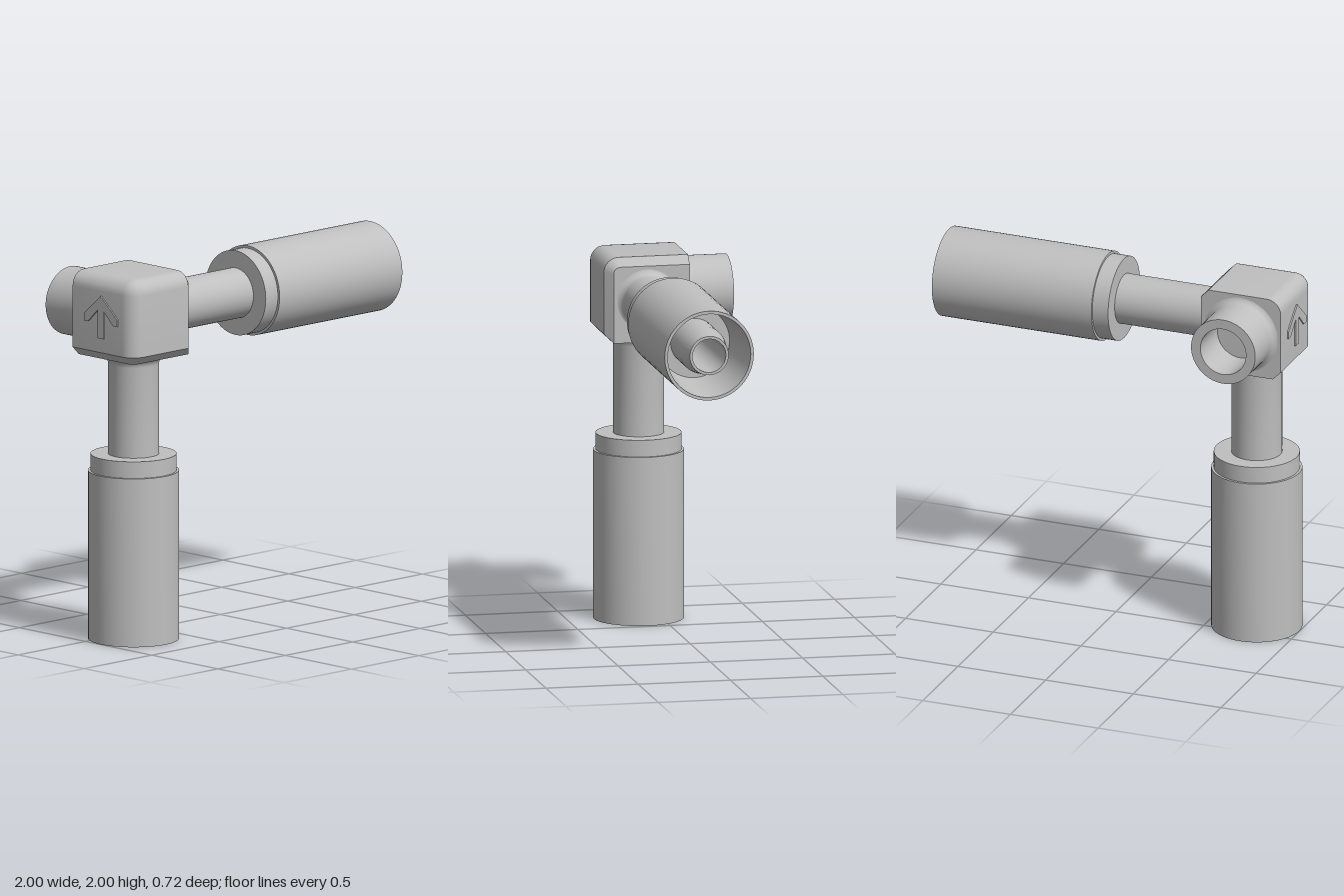
import * as THREE from 'three';
import { toCreasedNormals } from 'three/addons/utils/BufferGeometryUtils.js';
import { ConvexGeometry } from 'three/addons/geometries/ConvexGeometry.js';

const metal = new THREE.MeshStandardMaterial({ color: 0xbfbfbf });
metal.name = 'grey metal';

function part(name, geometry) {
  const mesh = new THREE.Mesh(toCreasedNormals(geometry, 0.5), metal);
  mesh.name = name;
  return mesh;
}

// Turned part; points are [radius, distance from the block centre]
function turned(name, points) {
  return part(name, new THREE.LatheGeometry(points.map(([r, t]) => new THREE.Vector2(r, t)), 64));
}

// Concave fillet from a block face at distance t down to radius r
function fillet(r, t, size) {
  const points = [];
  for (let i = 0; i <= 6; i++) {
    const a = (i / 6) * Math.PI / 2;
    points.push([r + size * (1 - Math.sin(a)), t + size * (1 - Math.cos(a))]);
  }
  return points;
}

// Block: rounded on three outer edges, chamfered around the two arm faces
function blockGeometry() {
  const h = 0.228, c = 0.045, r = 0.08, n = 6;
  const points = [];
  const add = (x, y, z) => points.push(new THREE.Vector3(x, y, z));
  const k = h - r;
  for (let i = 0; i <= n; i++) {
    const a = (i / n) * Math.PI / 2, s = Math.sin(a), q = Math.cos(a);
    add(-k - r * q, k + r * s, -h);                        // left top edge
    add(-k - r * q, -h + c, k + r * s);                    // left front edge
    add(-k - (r - c) * q, -h, k + (r - c) * s);
    add(h - c, k + r * q, k + r * s);                      // top front edge
    add(h, k + (r - c) * q, k + (r - c) * s);
    for (let j = 0; j <= n; j++) {                         // rounded corner
      const b = (j / n) * Math.PI / 2;
      add(-k - r * q * Math.cos(b), k + r * s, k + r * q * Math.sin(b));
    }
  }
  add(-h, -h + c, -h); add(-h + c, -h, -h);
  add(h - c, h, -h); add(h, h - c, -h);
  add(h, -h, -h); add(h, -h, h - c);
  add(h - c, -h + c, h);
  return new ConvexGeometry(points);
}

// Hose arm: pipe, crimped sleeve and inner nipple, along local +y
function arm(name) {
  const group = new THREE.Group();
  group.name = name;
  group.add(turned('pipe', [...fillet(0.135, 0.225, 0.045), [0.135, 0.78]]));
  group.add(turned('sleeve', [
    [0.12, 0.757], [0.228, 0.757], [0.228, 0.847], [0.2415, 0.847],
    [0.2415, 1.757], [0.225, 1.757], [0.192, 1.38], [0.1, 1.38],
  ]));
  group.add(turned('nipple', [
    [0.127, 1.37], [0.127, 1.6], [0.105, 1.757], [0.09, 1.757], [0.09, 0.24], [0, 0.24],
  ]));
  return group;
}

// Raised arrow on the left-hand wall
function arrowGeometry() {
  const half = [[0, 0.12], [0.125, 0.01], [0.125, -0.03], [0.095, -0.03], [0.024, 0.04], [0.024, -0.11]];
  const outline = [...half, ...half.slice(1).reverse().map(([x, y]) => [-x, y])];
  const shape = new THREE.Shape(outline.map(([x, y]) => new THREE.Vector2(x, y)));
  return new THREE.ExtrudeGeometry(shape, { depth: 0.009, bevelEnabled: false });
}

export function createModel() {
  const model = new THREE.Group();
  model.name = 'elbowFitting';
  const body = new THREE.Group();
  body.name = 'fittingBody';
  body.position.set(-0.757, 1.758, 0.115);
  model.add(body);

  body.add(part('block', blockGeometry()));

  const sideArm = arm('sideArm');
  sideArm.rotation.z = -Math.PI / 2;
  const lowerArm = arm('lowerArm');
  lowerArm.rotation.z = Math.PI;
  body.add(sideArm, lowerArm);

  // Open port at the back
  const port = turned('backPort', [
    ...fillet(0.183, 0.226, 0.04), [0.183, 0.478], [0.13, 0.478], [0.13, 0.235], [0, 0.235],
  ]);
  port.rotation.x = -Math.PI / 2;
  body.add(port);

  const arrow = part('directionArrow', arrowGeometry());
  arrow.rotation.y = -Math.PI / 2;
  arrow.position.set(-0.227, 0.005, -0.01);
  body.add(arrow);

  return model;
}
